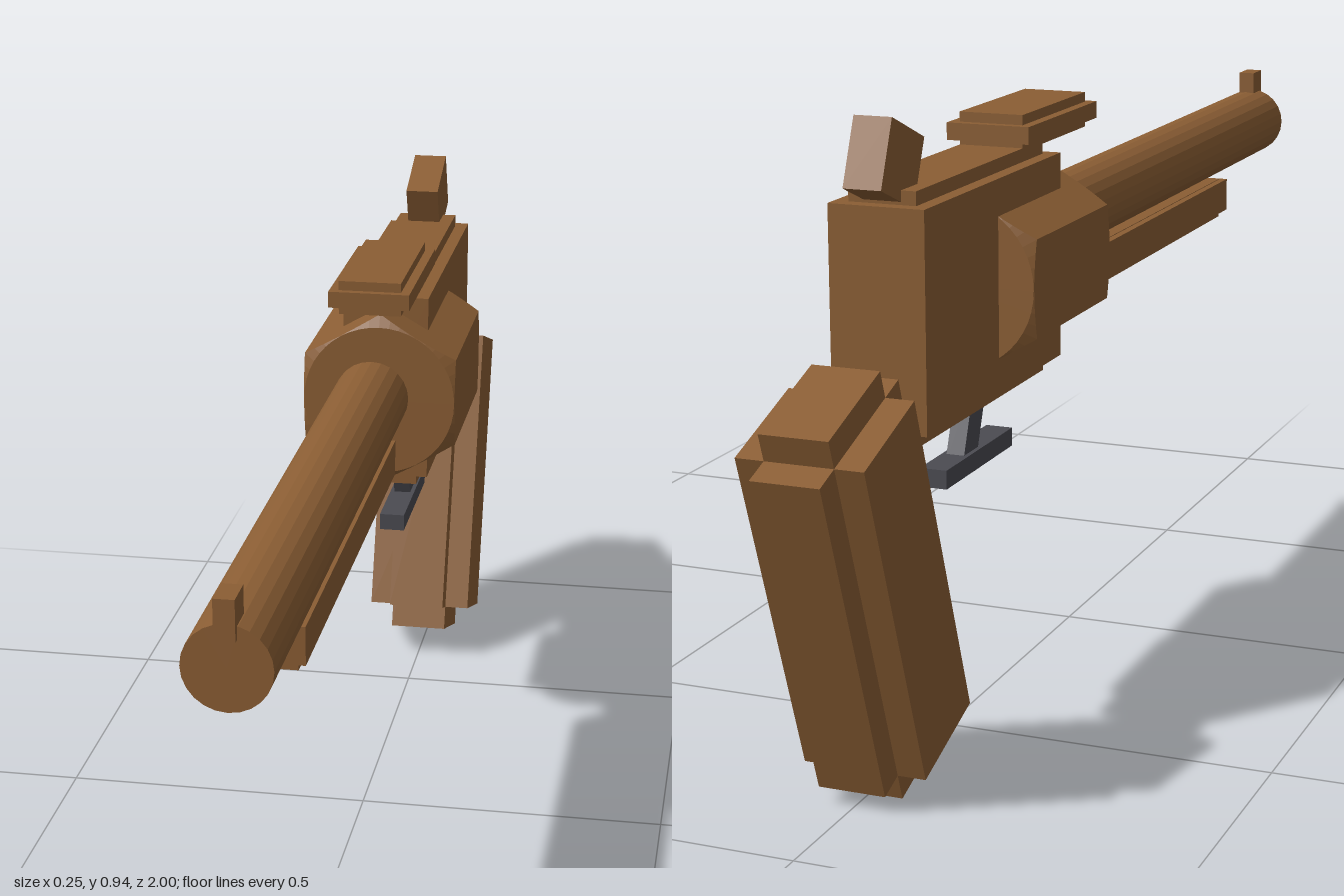
import * as THREE from 'three';

const brown = new THREE.MeshStandardMaterial({ color: 0x8b5e34, flatShading: true });
brown.name = 'brown';
const gray = new THREE.MeshStandardMaterial({ color: 0x4b4b52, flatShading: true });
gray.name = 'dark gray';

// Box centred on x, given by its half width and its y and z ranges
function block(name, halfX, y0, y1, z0, z1, mat = brown) {
  const mesh = new THREE.Mesh(new THREE.BoxGeometry(2 * halfX, y1 - y0, z1 - z0), mat);
  mesh.name = name;
  mesh.position.set(0, (y0 + y1) / 2, (z0 + z1) / 2);
  return mesh;
}

function part(name, ...meshes) {
  const group = new THREE.Group();
  group.name = name;
  group.add(...meshes);
  return group;
}

// Hexagonal prism along z whose corners are trimmed by a cone at both ends
function trimmedHexagon(radius, faceRadius, z0, z1) {
  const n = 48;
  const pos = [];
  const index = [];
  const ring = (dz, end, trim) => {
    for (let i = 0; i < n; i++) {
      const a = (i / n) * Math.PI * 2;
      const fromMid = (i % 8) / 8 * (Math.PI / 3) - Math.PI / 6;
      const hex = radius * Math.cos(Math.PI / 6) / Math.cos(fromMid);
      const r = trim ? Math.min(hex, faceRadius) : hex;
      const inset = trim ? 0 : Math.max(0.001, (hex - faceRadius) * 0.55);
      pos.push(Math.sin(a) * r, Math.cos(a) * r, end + dz * inset);
    }
  };
  ring(0, z1, true);
  ring(-1, z1, false);
  ring(1, z0, false);
  ring(0, z0, true);
  pos.push(0, 0, z1, 0, 0, z0);
  for (let i = 0; i < n; i++) {
    const j = (i + 1) % n;
    for (let k = 0; k < 3; k++) {
      const a = k * n + i, b = k * n + j;
      index.push(a, b, a + n, b, b + n, a + n);
    }
    index.push(4 * n, j, i);
    index.push(4 * n + 1, 3 * n + i, 3 * n + j);
  }
  const geo = new THREE.BufferGeometry();
  geo.setAttribute('position', new THREE.Float32BufferAttribute(pos, 3));
  geo.setIndex(index);
  geo.computeVertexNormals();
  return geo;
}

export function createModel() {
  const model = new THREE.Group();
  model.name = 'model';

  // Barrel with front sight
  const tube = new THREE.Mesh(new THREE.CylinderGeometry(0.06, 0.06, 1.07, 24), brown);
  tube.name = 'barrelTube';
  tube.rotation.x = Math.PI / 2;
  tube.position.set(0, 0.7, 0.455);
  model.add(part('barrel', tube, block('frontSight', 0.014, 0.74, 0.797, 0.95, 1)));

  // Stepped rod housing under the barrel
  model.add(part('underBarrel',
    block('underBarrelWide', 0.042, 0.577, 0.634, -0.063, 0.7),
    block('underBarrelDeep', 0.03, 0.565, 0.635, -0.075, 0.69)));

  // Hexagonal drum
  const drum = new THREE.Mesh(trimmedHexagon(0.145, 0.125, -0.463, -0.153), brown);
  drum.name = 'drum';
  drum.position.y = 0.67;
  model.add(drum);

  // Frame and top rail, each a pair of interlocking blocks
  model.add(part('frame',
    block('frameWide', 0.071, 0.516, 0.828, -0.716, -0.22),
    block('frameTall', 0.05, 0.495, 0.848, -0.695, -0.24)));
  model.add(part('topRail',
    block('railWide', 0.065, 0.856, 0.882, -0.332, -0.05),
    block('railTall', 0.05, 0.843, 0.897, -0.318, -0.062)));

  // Tilted hammer
  const hammer = block('hammer', 0.028, -0.05, 0.05, -0.055, 0.055);
  hammer.position.set(0, 0.883, -0.687);
  hammer.rotation.x = 0.385;
  model.add(hammer);

  // Trigger: slanted post on a flat bar
  const post = block('triggerPost', 0.014, -0.07, 0.07, -0.024, 0.024, gray);
  post.position.set(0, 0.455, -0.42);
  post.rotation.x = 0.37;
  model.add(part('trigger', post, block('triggerBar', 0.021, 0.387, 0.415, -0.541, -0.295, gray)));

  // Slanted grip made of three crossing blocks
  const grip = part('grip',
    block('gripSides', 0.092, -0.258, 0.258, -0.082, 0.082),
    block('gripCore', 0.05, -0.3, 0.3, -0.082, 0.082),
    block('gripSpine', 0.05, -0.258, 0.258, -0.126, 0.126));
  grip.position.set(0, 0.32, -0.792);
  grip.rotation.x = -0.342;
  model.add(grip);

  return model;
}
